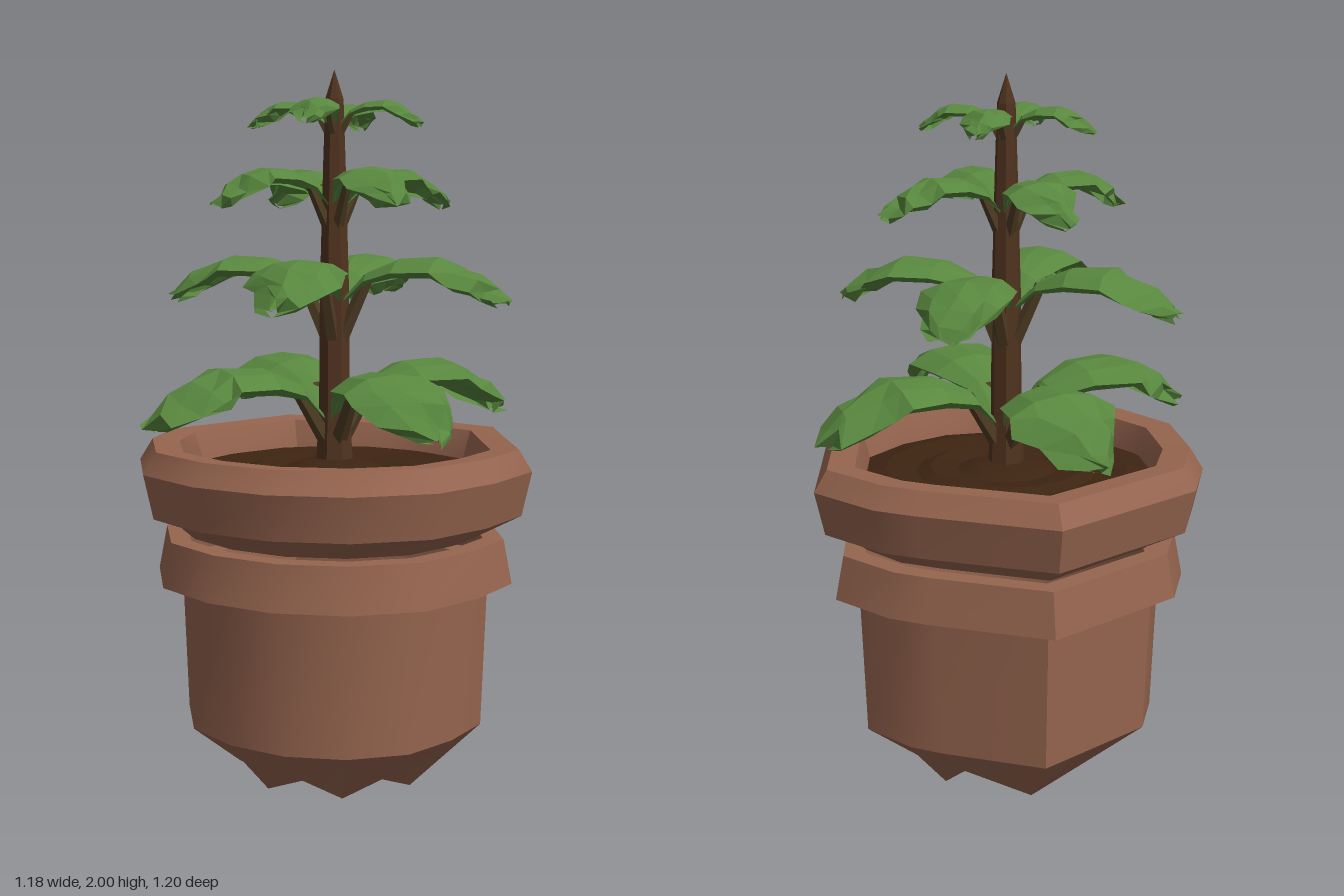
import * as THREE from 'three';
import { toCreasedNormals } from 'three/addons/utils/BufferGeometryUtils.js';

const mat = (color, flatShading = false) =>
  new THREE.MeshStandardMaterial({ color, flatShading, side: THREE.DoubleSide });
const clay = mat(0x96654f), leafGreen = mat(0x58873e, true);
const bark = mat(0x50331f, true), stalkBrown = mat(0x4f3d24, true), earth = mat(0x3d2412, true);

// Uneven hand-shaped outline of the pot (x, z), mean radius about 0.575
const OUTLINE = [
  [0.13, -0.6], [0.42, -0.33], [0.5, -0.24], [0.59, -0.03], [0.49, 0.2], [0.4, 0.41], [0.21, 0.52],
  [0, 0.58], [-0.22, 0.53], [-0.4, 0.4], [-0.52, 0.21], [-0.57, -0.02], [-0.48, -0.29], [-0.35, -0.46],
];

function seeded(seed) {
  let s = seed;
  return () => ((s = (s * 16807) % 2147483647) / 2147483647);
}

// Skin a grid of points: rows of equal length, optionally closed around
function skin(rows, closed) {
  const n = rows[0].length, index = [];
  for (let i = 0; i < rows.length - 1; i++) {
    for (let j = 0; j < (closed ? n : n - 1); j++) {
      const a = i * n + j, b = i * n + (j + 1) % n;
      index.push(a, a + n, b, b, a + n, b + n);
    }
  }
  const g = new THREE.BufferGeometry();
  g.setAttribute('position', new THREE.Float32BufferAttribute(rows.flat(2), 3));
  g.setIndex(index);
  g.computeVertexNormals();
  return g;
}

// Rings [y, radius, zigzag] following the pot outline
function potShell(rings) {
  const rows = rings.map(([y, r, zig = 0]) =>
    OUTLINE.map(([x, z], j) => [x * r / 0.575, y + (j % 2) * zig, z * r / 0.575]));
  return toCreasedNormals(skin(rows, true), 0.6);
}

function add(parent, name, geometry, material) {
  const m = new THREE.Mesh(geometry, material);
  m.name = name;
  parent.add(m);
  return m;
}

// Arched leaf along +x: narrow root, broad middle, drooping ragged tip
function leafGeometry(length, yLow, yHigh, width, rand) {
  const stations = [ // distance, height, half width
    [0.07, 0.25, 0.2], [0.2, 0.7, 0.45], [0.38, 0.96, 0.8], [0.6, 1, 1],
    [0.75, 0.8, 0.95], [0.85, 0.62, 0.7], [0.93, 0.4, 0.5], [1, 0.2, 0.14],
  ];
  // cross-section: across, drop; the outer points curl under
  const section = [[-0.75, 1.15], [-1, 0.8], [-0.55, 0.2], [0, 0], [0.55, 0.2], [1, 0.8], [0.75, 1.15]];
  const rows = stations.map(([t, h, w]) => {
    const rag = t > 0.7 ? 0.09 : 0.015;
    return section.map(([s, drop]) => [
      length * (t - (t > 0.7 ? 0.06 * Math.abs(s) : 0) + (s ? (rand() - 0.5) * rag : 0)),
      yLow + (yHigh - yLow) * (h - 0.33 * drop * Math.min(1, w + 0.15) + (rand() - 0.5) * rag * 1.6),
      s * w * width + (rand() - 0.5) * rag * width * 3,
    ]);
  });
  return skin(rows, false);
}

// Tapered stalk from the stem out to the leaf root
function stalkGeometry(from, to, r0, r1) {
  const a = new THREE.Vector3(...from), b = new THREE.Vector3(...to);
  const d = b.clone().sub(a);
  const g = new THREE.CylinderGeometry(r1, r0, d.length(), 5);
  g.applyQuaternion(new THREE.Quaternion().setFromUnitVectors(new THREE.Vector3(0, 1, 0), d.normalize()));
  const c = a.add(b).multiplyScalar(0.5);
  return g.translate(c.x, c.y, c.z);
}

export function createModel() {
  const model = new THREE.Group();
  model.name = 'pottedPlant';

  // Pot body with its flared collar
  const pot = new THREE.Group();
  pot.name = 'pot';
  model.add(pot);
  add(pot, 'potBody', potShell([
    [0.06, 0.001], [0, 0.29, 0.045], [0.165, 0.44], [0.58, 0.455],
    [0.58, 0.525], [0.705, 0.5], [0.705, 0.44],
  ]), clay);

  // Heavy rim sitting just above the collar
  add(pot, 'potRim', potShell([
    [0.71, 0.43], [0.725, 0.47, 0.02], [0.775, 0.55], [0.9, 0.578],
    [0.96, 0.54], [0.955, 0.46], [0.86, 0.43], [0.71, 0.43],
  ]), clay);

  // Soil with shallow rings
  const soilProfile = [[0, 0.92], [0.1, 0.9], [0.14, 0.885], [0.22, 0.895], [0.26, 0.88], [0.35, 0.89], [0.45, 0.87]]
    .map(([r, y]) => new THREE.Vector2(r, y));
  add(model, 'soil', new THREE.LatheGeometry(soilProfile, 16), earth);

  // Stem with a pointed top
  const stemProfile = [[0.055, 0.88], [0.045, 1.05], [0.042, 1.4], [0.032, 1.75], [0.026, 1.92], [0, 2]]
    .map(([r, y]) => new THREE.Vector2(r, y));
  add(model, 'stem', new THREE.LatheGeometry(stemProfile, 7), bark);

  // Four tiers of four leaves, every other tier turned by an eighth
  const tiers = [
    { turn: 0, length: 0.585, low: 1.0, high: 1.185, width: 0.155, root: 0.95, stalk: 0.026 },
    { turn: 1, length: 0.51, low: 1.34, high: 1.485, width: 0.13, root: 1.24, stalk: 0.024 },
    { turn: 0, length: 0.375, low: 1.61, high: 1.73, width: 0.1, root: 1.56, stalk: 0.018 },
    { turn: 1, length: 0.26, low: 1.835, high: 1.915, width: 0.065, root: 1.82, stalk: 0.012 },
  ];
  tiers.forEach((t, i) => {
    const tier = new THREE.Group();
    tier.name = `leafTier${i + 1}`;
    model.add(tier);
    const rand = seeded(41 + i * 977);
    for (let k = 0; k < 4; k++) {
      const branch = new THREE.Group();
      branch.name = 'branch';
      branch.rotation.y = (k + t.turn / 2) * Math.PI / 2;
      tier.add(branch);
      add(branch, 'leaf', leafGeometry(t.length, t.low, t.high, t.width, rand), leafGreen);
      const end = t.low + (t.high - t.low) * 0.6;
      add(branch, 'leafStalk',
        stalkGeometry([0.015, t.root, 0], [t.length * 0.2, end, 0], t.stalk, t.stalk * 0.7), stalkBrown);
    }
  });
  return model;
}
